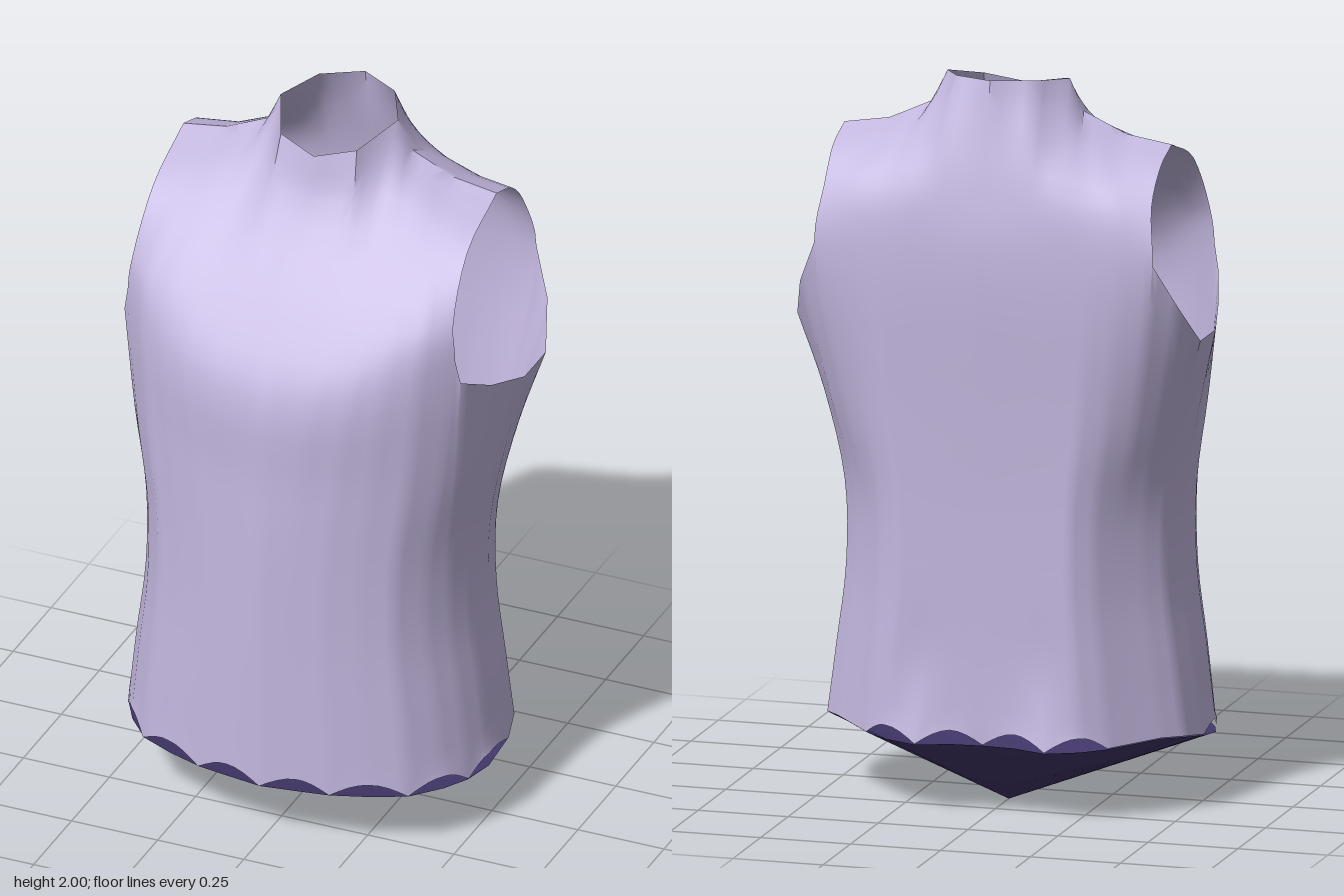
import * as THREE from 'three';
import { mergeVertices, toCreasedNormals } from 'three/addons/utils/BufferGeometryUtils.js';

const V = (a) => new THREE.Vector3(...a);
const { lerp, clamp } = THREE.MathUtils;

// Half outline of the hem (x, z), from front centre round the left side to back centre
const HEM = [[0, .40], [.10, .385], [.19, .37], [.29, .335], [.385, .29], [.455, .21], [.495, .14], [.52, .06],
  [.522, -.06], [.495, -.16], [.45, -.215], [.395, -.27], [.335, -.33], [.27, -.37], [.18, -.40], [.09, -.375], [0, -.37]];
// The hem is low in front, rises along the side and dips slightly at the back
const hemY = (z) => 0.172 + 0.046 * clamp((0.1 - z) / 0.3, 0, 1) - 0.02 * clamp((-0.2 - z) / 0.2, 0, 1);

// Trunk levels: height, width factor, blend towards the chest line
const TRUNK = [[.4, .95, 0], [.62, .895, 0], [.85, .885, .06], [1.1, .92, .4]];

// Chest line, dipping under the arm as the lower armhole edge
const CHEST = [[0, 1.36, .378], [.14, 1.37, .37], [.24, 1.39, .345], [.32, 1.41, .31], [.40, 1.44, .26],
  [.475, 1.48, .186], [.488, 1.41, .178], [.525, 1.35, .06], [.56, 1.31, -.08], [.56, 1.31, -.22], [.525, 1.42, -.31],
  [.47, 1.54, -.362], [.38, 1.54, -.375], [.30, 1.54, -.38], [.22, 1.54, -.384], [.12, 1.54, -.386], [0, 1.54, -.388]];

// Front yoke: upper chest, collar base, then neck rim and shoulder seam
const FRONT = [
  [[0, 1.55, .265], [.14, 1.55, .262], [.24, 1.55, .258], [.32, 1.56, .245], [.40, 1.57, .22], [.465, 1.58, .175]],
  [[0, 1.80, .075], [.12, 1.81, .055], [.18, 1.83, .0], [.25, 1.81, .0], [.35, 1.77, .03], [.455, 1.74, .06]],
  [[0, 1.92, .04], [.11, 1.945, .005], [.17, 1.98, -.13], [.21, 1.895, -.135], [.33, 1.84, -.135], [.455, 1.82, -.135]],
];
// Back yoke, from armhole to back centre
const BACK = [
  [[.455, 1.69, -.32], [.36, 1.70, -.34], [.28, 1.70, -.35], [.20, 1.72, -.355], [.12, 1.72, -.36], [0, 1.72, -.36]],
  [[.455, 1.78, -.24], [.34, 1.79, -.25], [.24, 1.83, -.25], [.19, 1.86, -.26], [.12, 1.87, -.31], [0, 1.87, -.325]],
  [[.455, 1.82, -.135], [.33, 1.84, -.135], [.21, 1.895, -.135], [.17, 1.98, -.13], [.11, 1.995, -.245], [0, 2, -.3]],
];
const SUB = 4;   // steps between control levels
const ACROSS = 4; // steps between columns

// Vertical curve of one column; side columns stop at the armhole
function column(i) {
  const [x, z] = HEM[i];
  const [cx, , cz] = CHEST[i];
  const pts = [V([x, hemY(z), z])];
  for (const [y, k, b] of TRUNK) pts.push(V([lerp(x * k, cx, b), y, lerp(Math.max(z, -.366), cz, b)]));
  pts.push(V(CHEST[i]));
  const yoke = i <= 5 ? FRONT.map((r) => r[i]) : i >= 11 ? BACK.map((r) => r[i - 11]) : [];
  yoke.forEach((p) => pts.push(V(p)));
  return new THREE.CatmullRomCurve3(pts).getPoints((pts.length - 1) * SUB);
}

// Writes each triangle and its mirror image
function pushTriangle(out, a, b, c) {
  out.push(a.x, a.y, a.z, b.x, b.y, b.z, c.x, c.y, c.z);
  out.push(-a.x, a.y, a.z, -c.x, c.y, c.z, -b.x, b.y, b.z);
}

function toGeometry(positions) {
  const g = new THREE.BufferGeometry();
  g.setAttribute('position', new THREE.Float32BufferAttribute(positions, 3));
  return mergeVertices(g, 1e-4);
}

function shirtGeometry() {
  const cols = HEM.map((_, i) => column(i));
  const out = [];
  for (let i = 0; i < cols.length - 1; i++) {
    const rows = Math.min(cols[i].length, cols[i + 1].length);
    const scalloped = i < 8 || i >= 12;
    const point = (f, r) => {
      const p = cols[i][r].clone().lerp(cols[i + 1][r], f);
      // each hem scallop spans two columns
      if (r === 0 && scalloped) p.y += 0.036 * Math.sin(Math.PI * ((i % 2) + f) / 2);
      return p;
    };
    for (let s = 0; s < ACROSS; s++) {
      const f = s / ACROSS, g = (s + 1) / ACROSS;
      for (let r = 0; r < rows - 1; r++) {
        const a = point(f, r), b = point(g, r), c = point(g, r + 1), d = point(f, r + 1);
        pushTriangle(out, a, b, c);
        pushTriangle(out, a, c, d);
      }
    }
  }
  // soft cloth, sharp only at the shoulder seam
  return toCreasedNormals(toGeometry(out), 0.65);
}

// Shallow cone closing the bottom
function baseGeometry() {
  const apex = V([0, 0, -.13]);
  const rim = HEM.map(([x, z]) => V([x * .995, hemY(z) - .003, z * .985]));
  const out = [];
  for (let i = 0; i < rim.length - 1; i++) pushTriangle(out, apex, rim[i + 1], rim[i]);
  const g = toGeometry(out);
  g.computeVertexNormals();
  return g;
}

export function createModel() {
  const cloth = new THREE.MeshStandardMaterial({ color: 0xc4b8e0, side: THREE.DoubleSide });
  cloth.name = 'lavender cloth';
  const dark = new THREE.MeshStandardMaterial({ color: 0x42376a, side: THREE.DoubleSide });
  dark.name = 'dark purple';

  const model = new THREE.Group();
  model.name = 'sleevelessTop';
  const shirt = new THREE.Mesh(shirtGeometry(), cloth);
  shirt.name = 'shirtBody';
  const base = new THREE.Mesh(baseGeometry(), dark);
  base.name = 'bottomClosure';
  model.add(shirt, base);
  return model;
}
